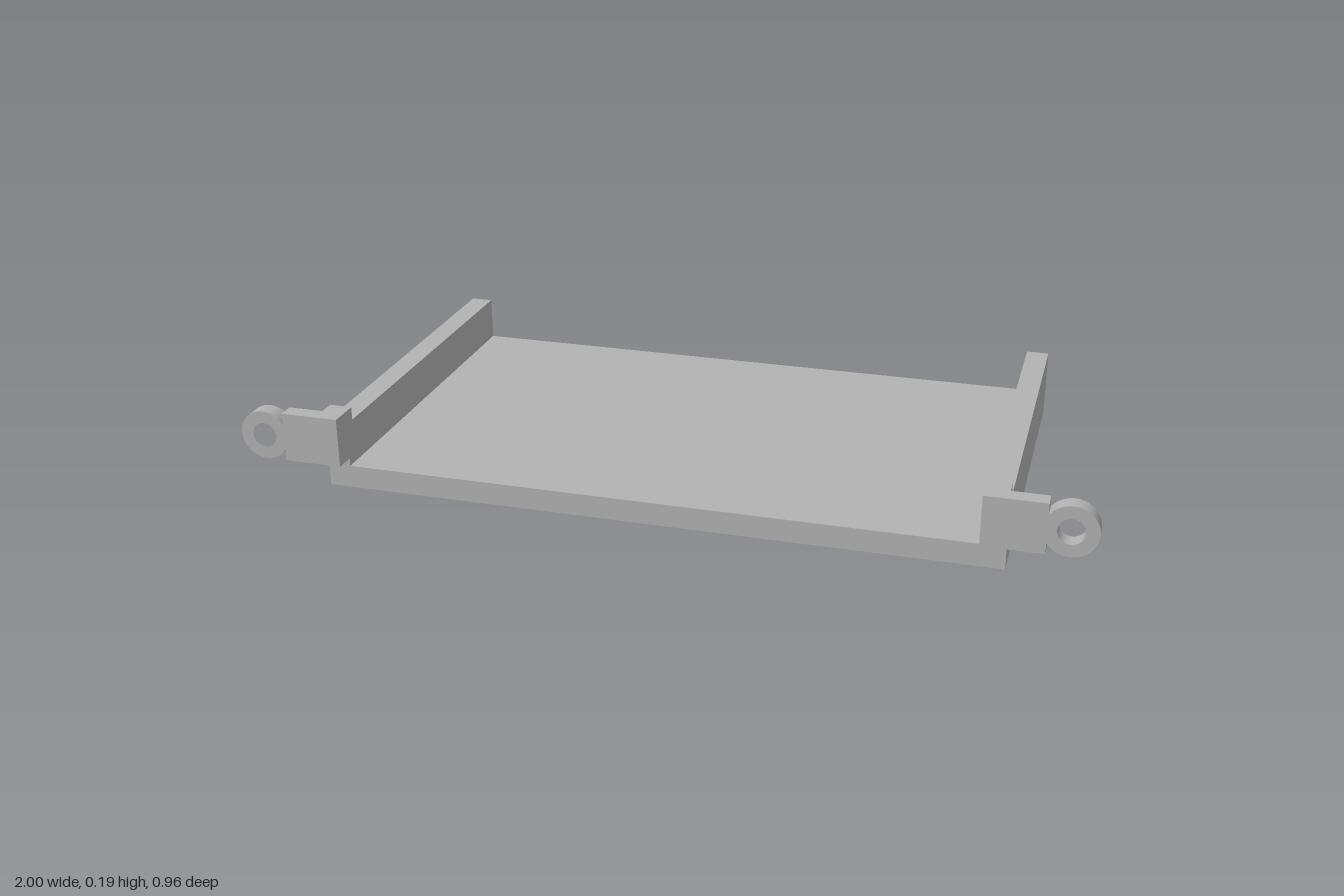
import * as THREE from 'three';

const grey = new THREE.MeshStandardMaterial({ color: 0xb2b2b2 });
grey.name = 'plain grey';

const INNER = 0.75, OUTER = 0.805, THICK = OUTER - INNER;
const FLOOR = 0.055, BACK = -0.48, FRONT = 0.48;
const EAR_LOW = 0.075, EAR_HIGH = 0.195, EAR_BACK = 0.44;

function addMesh(parent, name, geometry) {
  const mesh = new THREE.Mesh(geometry, grey);
  mesh.name = name;
  parent.add(mesh);
}

const extrude = (shape, depth) =>
  new THREE.ExtrudeGeometry(shape, { depth, bevelEnabled: false, curveSegments: 40 });

// Side wall with the raised block that carries the ear, drawn as a (z, y) profile
function wallGeometry(side) {
  const profile = new THREE.Shape([
    [BACK, FLOOR], [0.43, FLOOR], [0.43, EAR_LOW], [EAR_BACK, EAR_LOW],
    [EAR_BACK, EAR_HIGH], [0.40, EAR_HIGH], [0.40, 0.163], [BACK, 0.163],
  ].map(([z, y]) => new THREE.Vector2(z, y)));
  const g = extrude(profile, THICK);
  g.rotateY(-Math.PI / 2); // profile into the z-y plane, depth towards -x
  g.translate(side > 0 ? OUTER : -INNER, 0, 0);
  return g;
}

// Flat strap ending in a round eyelet
function earGeometry(side) {
  const cx = 0.94, cy = (EAR_LOW + EAR_HIGH) / 2, r = 0.06, neck = 0.89;
  const start = Math.acos((neck - cx) / r);
  const points = [[INNER, EAR_HIGH], [INNER, EAR_LOW], [neck, EAR_LOW]];
  const steps = 48;
  for (let i = 0; i <= steps; i++) {
    const a = -start + (2 * start * i) / steps;
    points.push([cx + r * Math.cos(a), cy + r * Math.sin(a)]);
  }
  points.push([neck, EAR_HIGH]);
  const shape = new THREE.Shape(points.map(([x, y]) => new THREE.Vector2(side * x, y)));
  shape.holes.push(new THREE.Path().absarc(side * cx, cy, 0.03, 0, Math.PI * 2, true));
  const g = extrude(shape, FRONT - EAR_BACK);
  g.translate(0, 0, EAR_BACK);
  return g;
}

export function createModel() {
  const model = new THREE.Group();
  model.name = 'mountingTray';

  // Floor plate
  const length = 0.43 - BACK;
  const floor = new THREE.BoxGeometry(OUTER * 2, FLOOR, length);
  floor.translate(0, FLOOR / 2, BACK + length / 2);
  addMesh(model, 'floorPlate', floor);

  // Mirrored walls and mounting ears
  for (const [name, side] of [['left', 1], ['right', -1]]) {
    addMesh(model, name + 'Wall', wallGeometry(side));
    addMesh(model, name + 'MountingEar', earGeometry(side));
  }
  return model;
}
